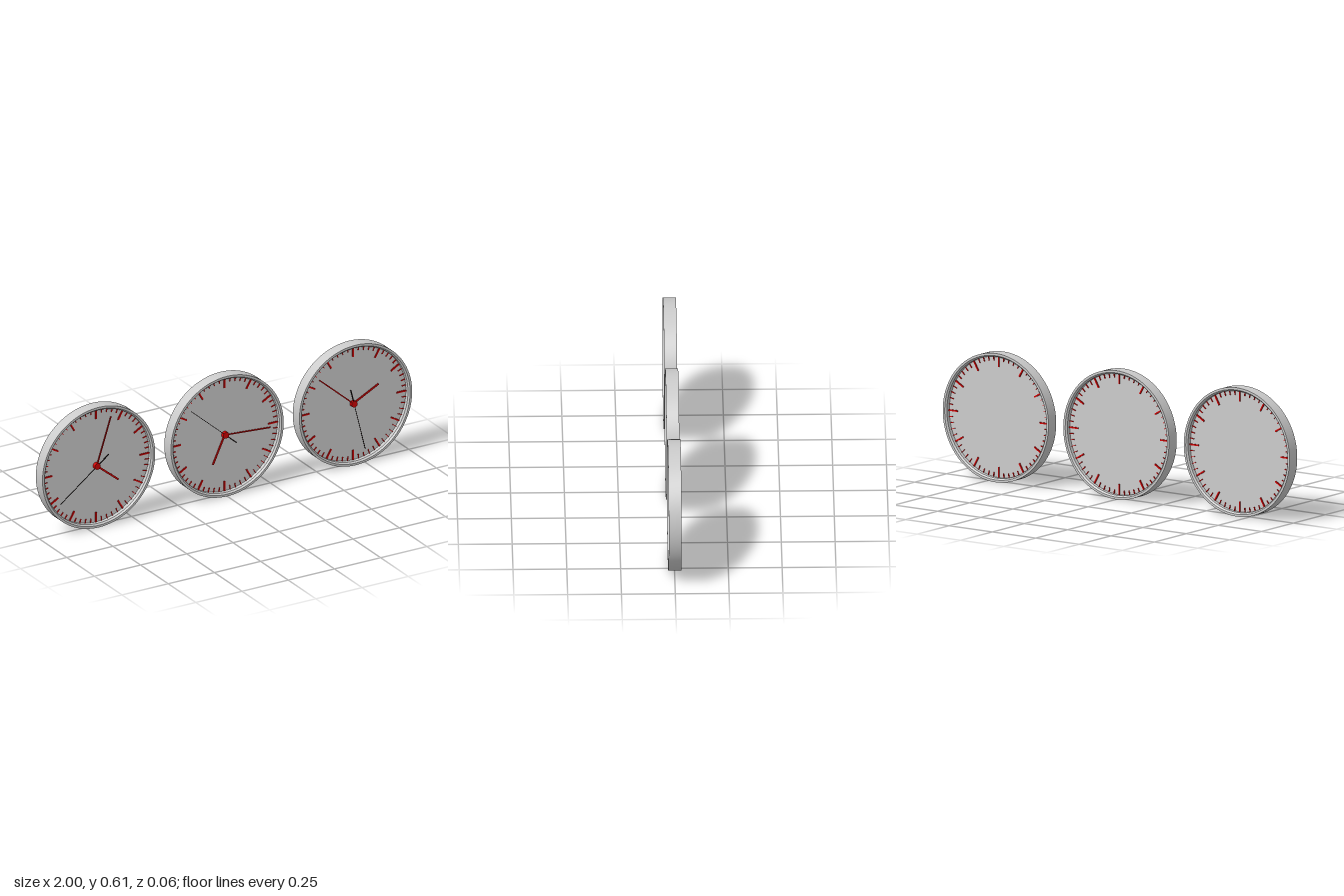
import * as THREE from 'three';
import { toCreasedNormals } from 'three/addons/utils/BufferGeometryUtils.js';

const R = 0.305;          // case radius
const HALF = 0.03;        // half depth of the case
const grey = new THREE.MeshStandardMaterial({ color: 0xcccccc });
const red = new THREE.MeshStandardMaterial({ color: 0xd00000 });
const dark = new THREE.MeshStandardMaterial({ color: 0x1a1010 });

function addMesh(parent, name, geometry, material) {
  const mesh = new THREE.Mesh(geometry, material);
  mesh.name = name;
  parent.add(mesh);
  return mesh;
}

// Bar running outward from radius r0 to r1, turned clockwise from twelve o'clock
function addBar(parent, name, r0, r1, width, depth, z, degrees, material) {
  const geometry = new THREE.BoxGeometry(width, r1 - r0, depth);
  geometry.translate(0, (r0 + r1) / 2, z);
  const bar = addMesh(parent, name, geometry, material);
  bar.rotation.z = -THREE.MathUtils.degToRad(degrees);
  return bar;
}

function createClock(name, hour, minute, second) {
  const clock = new THREE.Group();
  clock.name = name;

  // Case ring, open on both sides, with a bevelled inner lip
  const profile = [
    [R, -HALF], [R, HALF], [0.294, HALF], [0.287, 0.022],
    [0.287, -0.022], [0.294, -HALF], [R, -HALF],
  ].map(([x, y]) => new THREE.Vector2(x, y));
  const ring = new THREE.LatheGeometry(profile, 96).rotateX(Math.PI / 2);
  addMesh(clock, 'caseRing', toCreasedNormals(ring, 0.5), grey);

  // Thin dial in the middle of the case
  const dial = new THREE.CylinderGeometry(0.289, 0.289, 0.006, 96).rotateX(Math.PI / 2);
  addMesh(clock, 'dial', dial, grey);

  // Marks pass through the dial and show on both sides
  const marks = new THREE.Group();
  marks.name = 'minuteMarks';
  clock.add(marks);
  for (let i = 0; i < 60; i++) {
    const isHour = i % 5 === 0;
    addBar(marks, isHour ? 'hourMark' : 'minuteMark', isHour ? 0.237 : 0.266, 0.288,
      isHour ? 0.007 : 0.003, 0.016, 0, i * 6, red);
  }

  // Hands, stacked towards the front
  addBar(clock, 'hourHand', 0, 0.153, 0.009, 0.003, 0.008, hour, red);
  addBar(clock, 'minuteHand', 0, 0.245, 0.006, 0.003, 0.012, minute, red);
  addBar(clock, 'secondHand', 0, 0.248, 0.0025, 0.002, 0.016, second, dark);
  addBar(clock, 'secondHandTail', 0, 0.078, 0.005, 0.002, 0.016, second + 180, dark);

  // Hub over the hand pivots
  const hub = new THREE.CylinderGeometry(0.016, 0.016, 0.018, 32).rotateX(Math.PI / 2);
  hub.translate(0, 0, 0.011);
  addMesh(clock, 'hub', hub, red);
  return clock;
}

export function createModel() {
  const model = new THREE.Group();
  model.name = 'threeWallClocks';
  // Hand angles in degrees: hour, minute, second
  const clocks = [
    ['rightClock', 129, 18, 233],
    ['middleClock', 205, 94, 311],
    ['leftClock', 63, 311, 166],
  ];
  clocks.forEach((settings, i) => {
    const clock = createClock(...settings);
    clock.position.set((i - 1) * 0.695, R, 0);
    model.add(clock);
  });
  return model;
}
